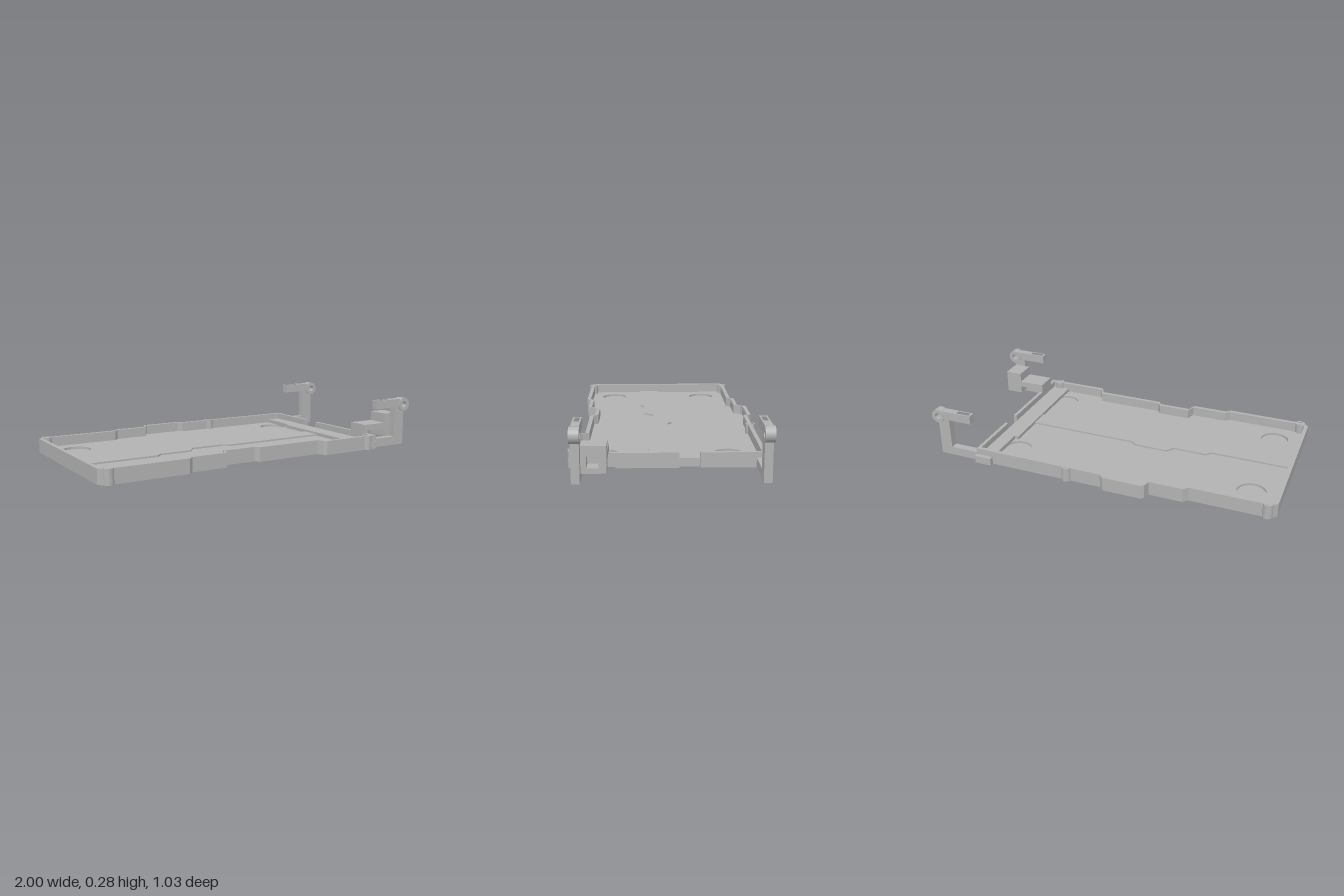
import * as THREE from 'three';

const grey = new THREE.MeshStandardMaterial({ color: 0xb2b2b2 });
grey.name = 'plain grey';

// Stepped long edges of the tray as [x, z], from the left end to the hinge end
const backEdge = [[-0.97, -0.44], [-0.53, -0.44], [-0.505, -0.465], [-0.315, -0.465], [-0.305, -0.505],
  [-0.285, -0.517], [-0.07, -0.517], [-0.045, -0.493], [0.72, -0.493]];
const frontEdge = [[-0.97, 0.495], [-0.515, 0.495], [-0.49, 0.472], [-0.285, 0.472], [-0.265, 0.42],
  [-0.08, 0.42], [-0.06, 0.445], [0.33, 0.445], [0.345, 0.48], [0.36, 0.495], [0.72, 0.495]];

// Raised cable channel edges
const channelBack = [[-0.975, 0.03], [-0.525, 0.03], [-0.495, 0], [-0.305, 0], [-0.27, -0.042],
  [-0.08, -0.042], [-0.045, -0.016], [0.6, -0.016]];
const channelFront = [[-0.975, 0.15], [-0.525, 0.15], [-0.495, 0.122], [-0.305, 0.122], [-0.27, 0.07],
  [-0.08, 0.07], [-0.045, 0.098], [0.6, 0.098]];

const vecs = pts => pts.map(([x, z]) => new THREE.Vector2(x, -z));
const rectPts = (x0, x1, z0, z1) => [[x0, z0], [x1, z0], [x1, z1], [x0, z1]];

function circlePts(x, z, r, n = 40) {
  return Array.from({ length: n }, (_, i) => {
    const a = (i / n) * Math.PI * 2;
    return [x + r * Math.cos(a), z + r * Math.sin(a)];
  });
}

function add(group, name, geometry) {
  const mesh = new THREE.Mesh(geometry, grey);
  mesh.name = name;
  group.add(mesh);
  return mesh;
}

// Horizontal plate from a plan outline in x and z, between two heights
function slab(group, name, pts, y0, y1, holes = []) {
  const shape = new THREE.Shape(vecs(pts));
  holes.forEach(h => shape.holes.push(new THREE.Path(vecs(h))));
  const g = new THREE.ExtrudeGeometry(shape, { depth: y1 - y0, bevelEnabled: false });
  g.rotateX(-Math.PI / 2).translate(0, y0, 0);
  return add(group, name, g);
}

function box(group, name, x0, x1, y0, y1, z0, z1) {
  const g = new THREE.BoxGeometry(x1 - x0, y1 - y0, z1 - z0);
  g.translate((x0 + x1) / 2, (y0 + y1) / 2, (z0 + z1) / 2);
  return add(group, name, g);
}

// Tray edges moved inwards by t; open = the part ends at endX
function edges(t, endX) {
  const inset = (pts, s) => pts.map(([x, z], i) =>
    [i === 0 ? x + t * 0.6 : i === pts.length - 1 ? endX : x, z + s * t]);
  const left = -1 + t;
  return [
    ...inset(backEdge, 1).reverse(),
    [left, -0.412 + t * 0.6], [left, 0.465 - t * 0.6],
    ...inset(frontEdge, -1),
  ];
}

function buildTray() {
  const tray = new THREE.Group();
  tray.name = 'tray';
  const channel = [...channelBack, ...[...channelFront].reverse()];
  const slot = rectPts(0.64, 0.675, -0.36, 0.37);
  const pockets = [[-0.83, -0.27], [-0.83, 0.33], [0.55, -0.32], [0.55, 0.33]]
    .map(([x, z]) => circlePts(x, z, 0.08));

  // Floor: grooved underside, pocketed top, raised channel cover
  const floorOutline = edges(0.01, 0.7);
  slab(tray, 'floorUnderside', floorOutline, 0, 0.012, [channel, slot]);
  slab(tray, 'floorTop', floorOutline, 0.012, 0.025, [...pockets, slot]);
  slab(tray, 'channelCover', channel, 0.02, 0.034);

  // Rim around three sides
  slab(tray, 'rim', [...edges(0, 0.72), ...edges(0.022, 0.72).reverse()], 0, 0.08);

  // Hinge side wall with a gap and a low cable exit
  box(tray, 'endWallBack', 0.7, 0.72, 0, 0.08, -0.48, -0.16);
  box(tray, 'endWallMiddle', 0.7, 0.72, 0, 0.08, -0.055, 0.265);
  box(tray, 'endWallOverExit', 0.7, 0.72, 0.027, 0.08, 0.265, 0.37);
  box(tray, 'endWallFront', 0.7, 0.72, 0, 0.08, 0.37, 0.48);

  // Cross bar over the cable slot
  slab(tray, 'crossBar', [[0.62, -0.475], [0.7, -0.475], [0.7, 0.475], [0.595, 0.475],
    [0.595, -0.23], [0.62, -0.23]], 0.025, 0.045);

  // Screw bosses in the rim
  for (const [x, z] of [[-0.95, -0.428], [-0.95, 0.482], [0.157, -0.485], [0.66, 0.482]]) {
    slab(tray, 'screwBossBase', circlePts(x, z, 0.028, 28), 0, 0.07);
    slab(tray, 'screwBossRing', circlePts(x, z, 0.028, 28), 0.07, 0.082, [circlePts(x, z, 0.019, 28)]);
  }
  return tray;
}

// Upright arm with a hinge barrel and a slotted finger, centred on z
function buildArm(name, z) {
  const arm = new THREE.Group();
  arm.name = name;
  const w = 0.042;
  const side = new THREE.Shape([[0.7, 0], [0.96, 0], [0.96, 0.203], [0.93, 0.215], [0.925, 0.25], [0.89, 0.25],
    [0.89, 0.05], [0.7, 0.05]].map(p => new THREE.Vector2(...p)));
  add(arm, 'upright', new THREE.ExtrudeGeometry(side, { depth: w, bevelEnabled: false }).translate(0, 0, -w / 2));

  const ring = new THREE.Shape().absarc(0.96, 0.24, 0.04, 0, Math.PI * 2);
  ring.holes.push(new THREE.Path().absarc(0.96, 0.24, 0.018, 0, Math.PI * 2));
  add(arm, 'hingeBarrel', new THREE.ExtrudeGeometry(ring,
    { depth: 0.05, bevelEnabled: false, curveSegments: 24 }).translate(0, 0, -0.025));

  slab(arm, 'finger', rectPts(0.75, 0.93, -w / 2, w / 2), 0.225, 0.275, [rectPts(0.762, 0.842, -0.013, 0.013)]);
  arm.position.z = z;
  return arm;
}

// Socket block on a shelf beside the front arm
function buildSocket() {
  const socket = new THREE.Group();
  socket.name = 'socket';
  const [z0, z1] = [0.297, 0.42];
  box(socket, 'shelfPost', 0.7, 0.722, 0.07, 0.13, z0, z1);
  box(socket, 'shelf', 0.7, 0.86, 0.095, 0.13, z0, z1);
  box(socket, 'blockBack', 0.855, 0.88, 0.05, 0.185, z0, z1);
  // Block face: y and z outline with a square hole, extruded along x
  const corner = (a, b, c, d) => [[a, b], [c, b], [c, d], [a, d]].map(p => new THREE.Vector2(...p));
  const face = new THREE.Shape(corner(-z1, 0.05, -z0, 0.185));
  face.holes.push(new THREE.Path(corner(-0.393, 0.076, -0.335, 0.134)));
  const g = new THREE.ExtrudeGeometry(face, { depth: 0.075, bevelEnabled: false });
  g.rotateY(Math.PI / 2).translate(0.88, 0, 0);
  add(socket, 'blockFront', g);
  return socket;
}

export function createModel() {
  const model = new THREE.Group();
  model.name = 'hingedTray';
  model.add(buildTray(), buildArm('backArm', -0.465), buildArm('frontArm', 0.445), buildSocket());
  // Low pads that tie the arms to the tray corners
  box(model, 'backArmPad', 0.62, 0.72, 0, 0.044, -0.517, -0.44);
  box(model, 'frontArmPad', 0.68, 0.72, 0, 0.044, 0.42, 0.5);
  return model;
}
